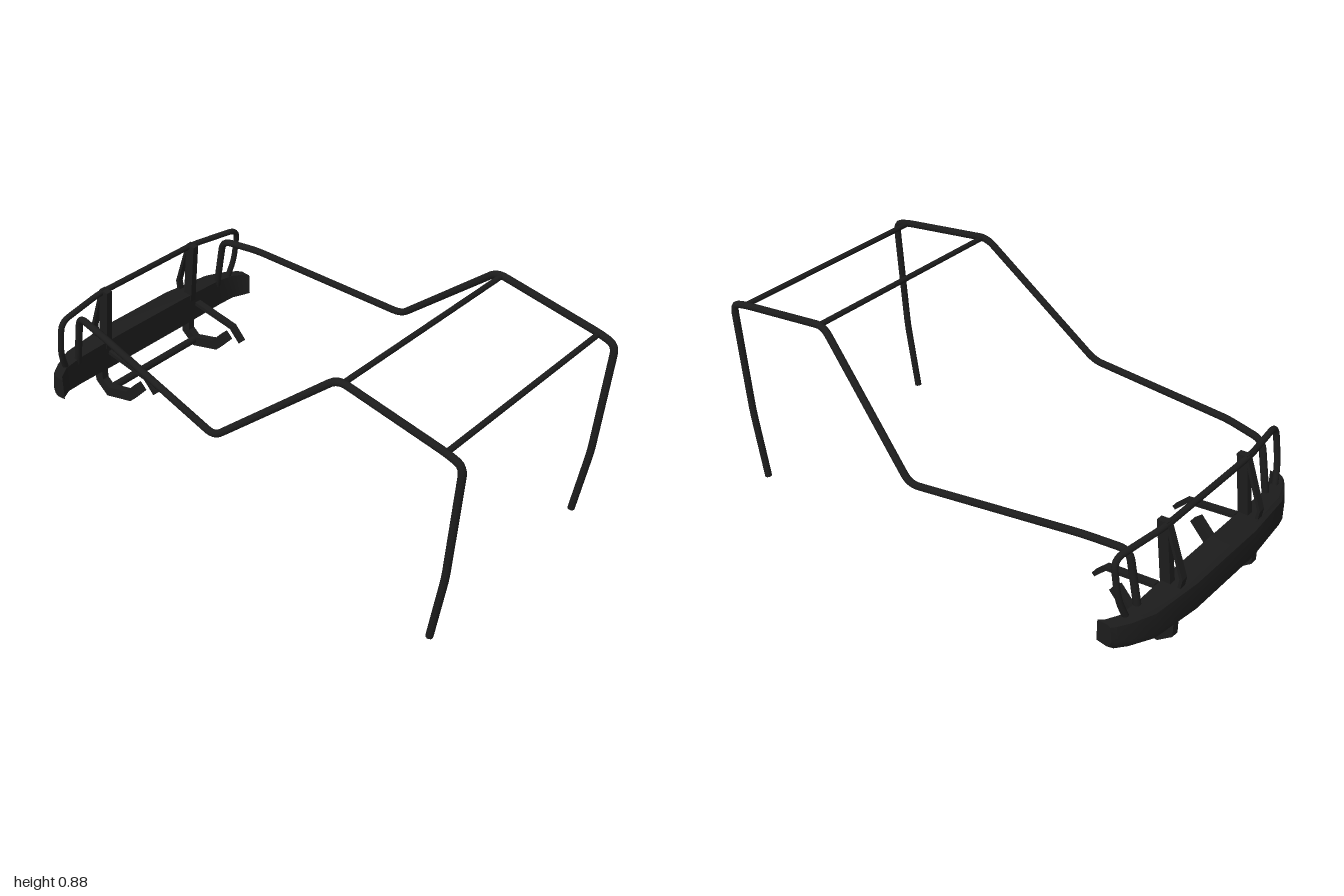
import * as THREE from 'three';
import { mergeGeometries, toCreasedNormals } from 'three/addons/utils/BufferGeometryUtils.js';

// Round tube through points, each inner corner rounded by the bend length, with capped ends
function bentTube(points, radius, bend = 0.03, sides = 12) {
  const pts = points.map(p => new THREE.Vector3(...p));
  const path = new THREE.CurvePath();
  let from = pts[0];
  for (let i = 1; i < pts.length - 1; i++) {
    const p = pts[i];
    const toward = q => {
      const d = q.clone().sub(p);
      return p.clone().addScaledVector(d, Math.min(bend, d.length() * 0.45) / d.length());
    };
    const a = toward(pts[i - 1]), b = toward(pts[i + 1]);
    path.add(new THREE.LineCurve3(from, a));
    path.add(new THREE.QuadraticBezierCurve3(a, p, b));
    from = b;
  }
  path.add(new THREE.LineCurve3(from, pts[pts.length - 1]));
  const segments = pts.length === 2 ? 1 : Math.ceil(path.getLength() / 0.012);
  const cap = (end, next) => {
    const dir = end.clone().sub(next).normalize();
    const q = new THREE.Quaternion().setFromUnitVectors(new THREE.Vector3(0, 0, 1), dir);
    return new THREE.CircleGeometry(radius, sides).applyQuaternion(q).translate(end.x, end.y, end.z);
  };
  return mergeGeometries([
    new THREE.TubeGeometry(path, segments, radius, sides),
    cap(pts[0], pts[1]),
    cap(pts[pts.length - 1], pts[pts.length - 2]),
  ]);
}

// Flat bar following a [z, y] path, mitred at its bends and extruded along x
function flatBar(path, thickness, width, x) {
  const pts = path.map(p => new THREE.Vector2(...p));
  const sideA = [], sideB = [];
  pts.forEach((p, i) => {
    const before = p.clone().sub(pts[i - 1] ?? p).normalize();
    const after = (pts[i + 1] ?? p).clone().sub(p).normalize();
    const t = before.clone().add(after).normalize();
    const ref = i ? before : after;
    const n = new THREE.Vector2(-t.y, t.x).multiplyScalar(thickness / 2 / t.dot(ref));
    sideA.push(p.clone().add(n));
    sideB.unshift(p.clone().sub(n));
  });
  const geo = new THREE.ExtrudeGeometry(new THREE.Shape([...sideA, ...sideB]), { depth: width, bevelEnabled: false });
  return geo.translate(0, 0, -width / 2).rotateY(-Math.PI / 2).translate(x, 0, 0);
}

// Swept bumper lofted from cross-sections: [x, front z, back z, bottom y, top y]
function bumperGeometry() {
  const half = [
    [0.53, -0.885, -0.825, 0.22, 0.315],
    [0.515, -0.9, -0.845, 0.21, 0.318],
    [0.47, -0.93, -0.872, 0.205, 0.322],
    [0.39, -0.97, -0.88, 0.2, 0.328],
    [0.18, -0.995, -0.88, 0.196, 0.334],
  ];
  const stations = [...half.map(([x, ...r]) => [-x, ...r]), ...half.slice().reverse()];
  const ring = 7, pos = [], index = [];
  for (const [x, zf, zb, y0, y1] of stations) {
    const d = zb - zf, h = y1 - y0;
    [[1, 0.97], [0.28, 1], [0.12, 0.93], [0, 0.35], [0.1, 0.1], [0.3, 0], [1, 0.04]]
      .forEach(([u, v]) => pos.push(x, y0 + h * v, zf + d * u));
  }
  for (let s = 0; s < stations.length - 1; s++) {
    for (let k = 0; k < ring; k++) {
      const a = s * ring + k, b = s * ring + (k + 1) % ring;
      index.push(a, a + ring, b, b, a + ring, b + ring);
    }
  }
  const last = (stations.length - 1) * ring;
  for (let k = 1; k < ring - 1; k++) {
    index.push(0, k, k + 1, last, last + k + 1, last + k);
  }
  const geo = new THREE.BufferGeometry();
  geo.setAttribute('position', new THREE.Float32BufferAttribute(pos, 3));
  geo.setIndex(index);
  return toCreasedNormals(geo, 0.6);
}

export function createModel() {
  const model = new THREE.Group();
  model.name = 'tubularFrame';
  const black = new THREE.MeshStandardMaterial({ color: 0x1c1c1c, side: THREE.DoubleSide });
  black.name = 'satin black';
  const add = (name, geo) => {
    const mesh = new THREE.Mesh(geo, black);
    mesh.name = name;
    model.add(mesh);
  };

  for (const [side, s] of [['left', 1], ['right', -1]]) {
    // Long rail: upright post, roof, sloping pillar, lower rail and drop into the bumper
    add(side + 'Rail', bentTube([
      [0.443 * s, 0.005, 0.905], [0.443 * s, 0.3, 0.953], [0.443 * s, 0.775, 0.99],
      [0.443 * s, 0.795, 0.93], [0.443 * s, 0.872, 0.49], [0.532 * s, 0.458, 0.005],
      [0.43 * s, 0.532, -0.68], [0.398 * s, 0.532, -0.845], [0.395 * s, 0.3, -0.89],
    ], 0.014, 0.04));

    // Upright strap and its thin bowed brace
    add(side + 'GuardUpright', flatBar([[-0.866, 0.572], [-0.9, 0.3]], 0.042, 0.027, 0.239 * s));
    add(side + 'GuardBrace', flatBar(
      [[-0.872, 0.57], [-0.885, 0.565], [-0.957, 0.37], [-0.95, 0.32]], 0.012, 0.027, 0.239 * s));

    // Thin bracket reaching in above the chassis
    add(side + 'UpperBracket', flatBar(
      [[-0.605, 0.203], [-0.655, 0.257], [-0.86, 0.292]], 0.016, 0.028, 0.246 * s));

    // Heavy bent bracket below the bumper
    add(side + 'LowerBracket', flatBar(
      [[-0.695, 0.192], [-0.76, 0.125], [-0.885, 0.092], [-0.93, 0.13], [-0.93, 0.22]],
      0.042, 0.031, 0.249 * s));
  }

  // Roof cross bars
  add('frontRoofBar', bentTube([[-0.443, 0.795, 0.922], [0.443, 0.795, 0.922]], 0.0105));
  add('rearRoofBar', bentTube([[-0.443, 0.867, 0.512], [0.443, 0.867, 0.512]], 0.0105));

  // Guard hoop: one tube up, across and down again
  const hoop = [[0.458, 0.31, -0.888], [0.487, 0.395, -0.872], [0.487, 0.55, -0.846], [0.26, 0.561, -0.882]];
  add('guardHoop', bentTube([
    ...hoop.map(([x, y, z]) => [-x, y, z]), ...hoop.slice().reverse(),
  ], 0.012, 0.045));

  // Lower cross bar and bumper
  add('lowerBar', bentTube([[-0.249, 0.1, -0.885], [0.249, 0.1, -0.885]], 0.016));
  add('bumper', bumperGeometry());

  return model;
}
